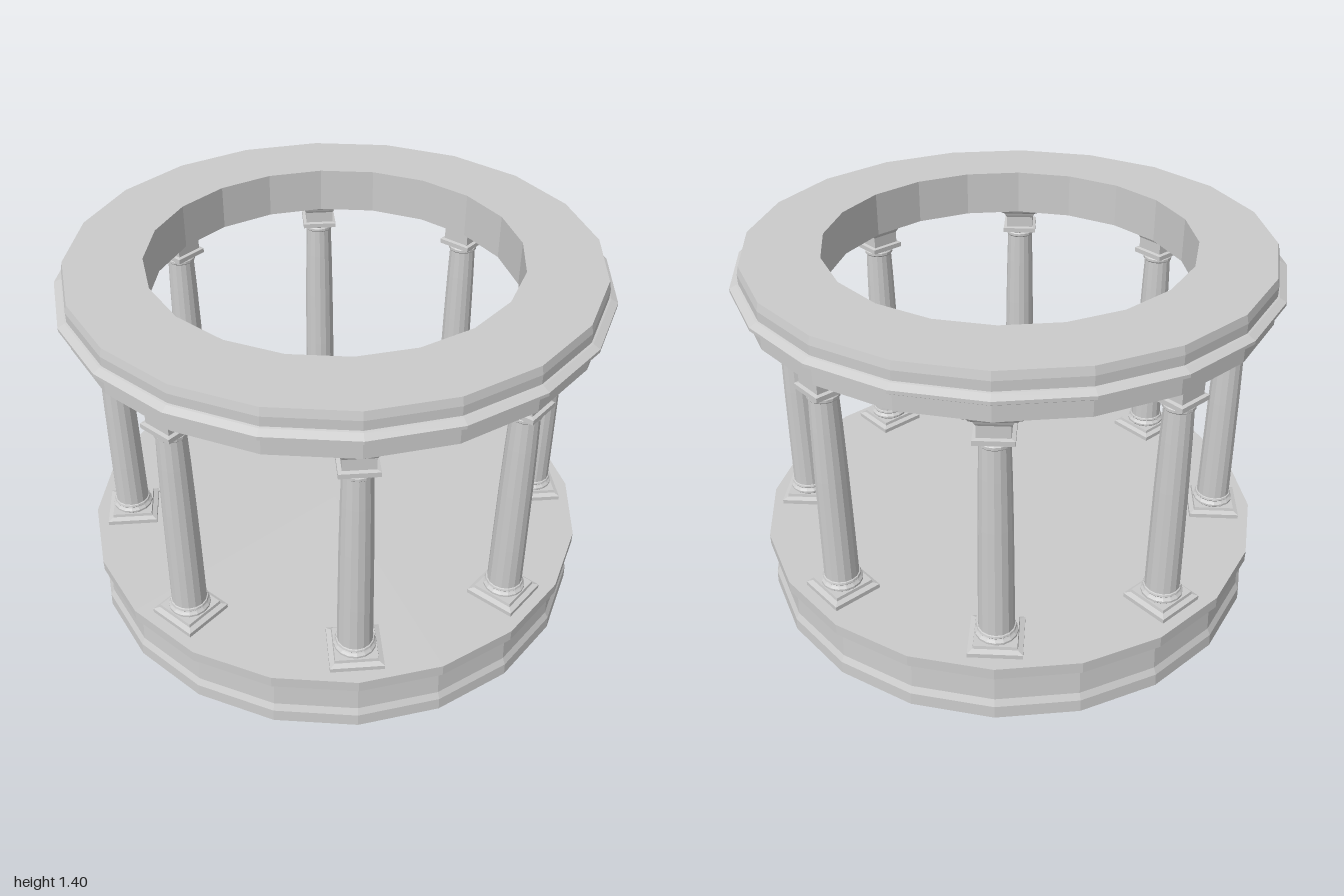
import * as THREE from 'three';

const stone = new THREE.MeshStandardMaterial({ color: 0xcccccc, flatShading: true });

// Turned solid from [radius, height] pairs listed bottom to top
function turned(name, profile, sides) {
  const points = profile.map(([r, y]) => new THREE.Vector2(r, y));
  const mesh = new THREE.Mesh(new THREE.LatheGeometry(points, sides), stone);
  mesh.name = name;
  return mesh;
}

// Square moulding from [half width, height] pairs: a four-sided turning, squared up
function squared(name, profile) {
  const mesh = turned(name, profile.map(([h, y]) => [h * Math.SQRT2, y]), 4);
  mesh.geometry.rotateY(Math.PI / 4);
  return mesh;
}

function createColumn() {
  const column = new THREE.Group();
  column.name = 'column';
  column.add(
    // stepped square foot
    squared('plinth', [
      [0, 0.24], [0.097, 0.24], [0.097, 0.257], [0.079, 0.264], [0.077, 0.276], [0, 0.276],
    ]),
    // rounded rings at the foot
    turned('baseRings', [
      [0, 0.274], [0.07, 0.274], [0.077, 0.281], [0.077, 0.289], [0.07, 0.296],
      [0.067, 0.3], [0.071, 0.305], [0.069, 0.312], [0.062, 0.315], [0, 0.315],
    ], 16),
    // tapered shaft
    turned('shaft', [
      [0.065, 0.3], [0.063, 0.5], [0.06, 0.75], [0.056, 0.95], [0.052, 1.08],
    ], 16),
    // neck ring under the capital
    turned('neckRings', [
      [0, 1.07], [0.052, 1.07], [0.058, 1.076], [0.058, 1.086], [0.053, 1.091],
      [0.06, 1.096], [0.06, 1.104], [0, 1.104],
    ], 16),
    // square capital flaring out to the abacus
    squared('capital', [
      [0, 1.1], [0.068, 1.1], [0.068, 1.118], [0.055, 1.121], [0.055, 1.165],
      [0.06, 1.174], [0.064, 1.184], [0.075, 1.192], [0.081, 1.202],
      [0.092, 1.21], [0.097, 1.218], [0.097, 1.23], [0, 1.23],
    ]),
  );
  return column;
}

export function createModel() {
  const model = new THREE.Group();
  model.name = 'roundColonnade';

  // Round floor with a projecting lip
  model.add(turned('floor', [
    [0, 0], [0.977, 0], [0.975, 0.05], [0.962, 0.075], [0.957, 0.17],
    [0.962, 0.18], [0.972, 0.19], [0.984, 0.195], [0.984, 0.24], [0, 0.24],
  ], 20));

  // Eight columns, each facing the centre
  const count = 8, ringRadius = 0.833;
  for (let i = 0; i < count; i++) {
    const angle = THREE.MathUtils.degToRad(27 + (i * 360) / count);
    const column = createColumn();
    column.position.set(ringRadius * Math.cos(angle), 0, ringRadius * Math.sin(angle));
    column.rotation.y = -angle;
    model.add(column);
  }

  // Open ring beam with a moulded outer edge
  model.add(turned('ringBeam', [
    [0.68, 1.23], [0.968, 1.23], [0.968, 1.292], [0.985, 1.298], [0.988, 1.304],
    [1, 1.308], [1, 1.32], [0.975, 1.333], [0.968, 1.335], [0.968, 1.37],
    [0.961, 1.4], [0.68, 1.4], [0.68, 1.23],
  ], 20));

  return model;
}
